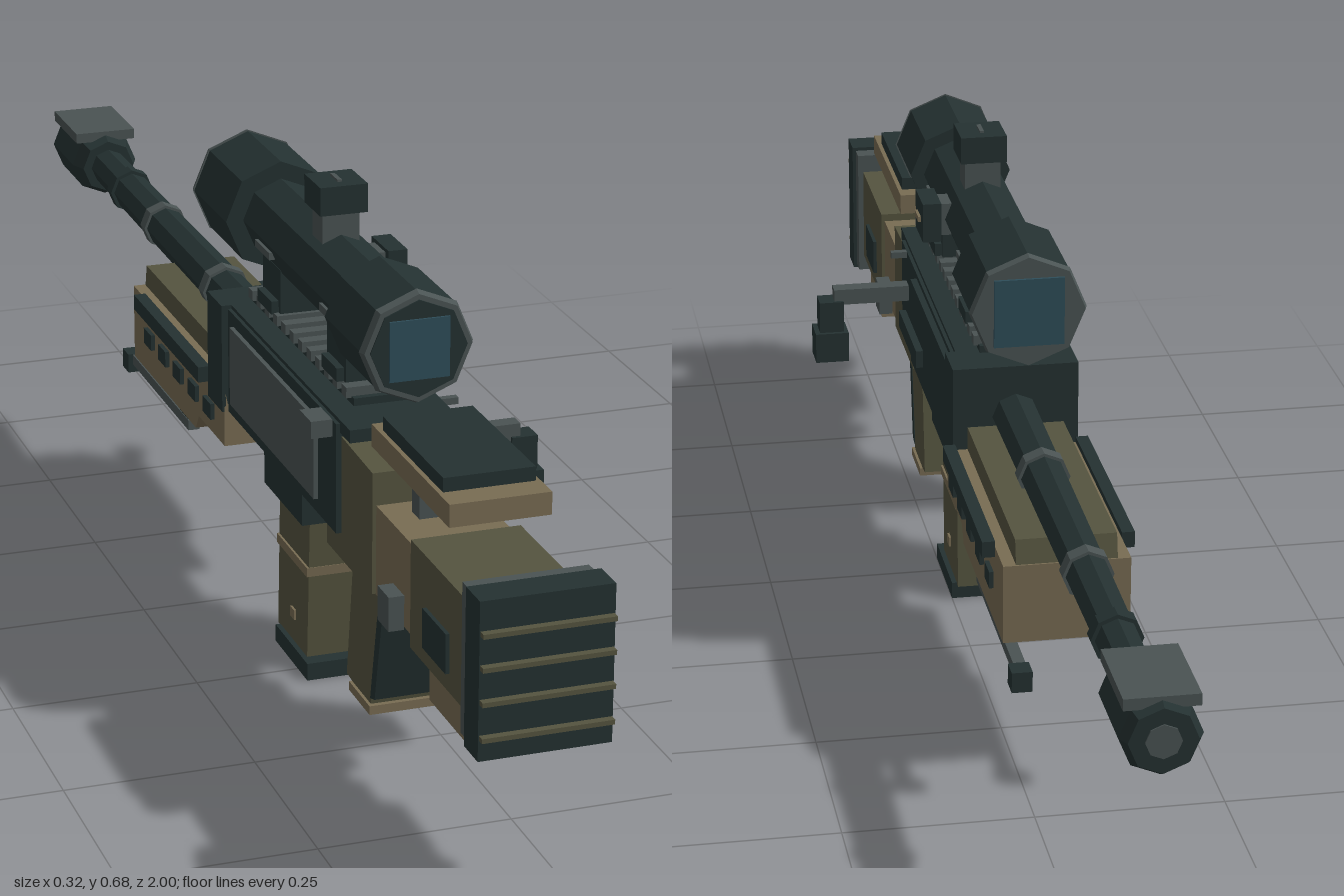
import * as THREE from 'three';

const mat = (name, color) => {
  const m = new THREE.MeshStandardMaterial({ color });
  m.name = name;
  m.flatShading = true;
  return m;
};

export function createModel() {
  const dark = mat('gunmetal', 0x243131);
  const grey = mat('steel grey', 0x4a5353);
  const tan = mat('tan', 0x786c53);
  const olive = mat('olive', 0x55543f);
  const glass = mat('lens blue', 0x2e4d59);

  const model = new THREE.Group();
  model.name = 'rifle';
  const gun = new THREE.Group();
  gun.name = 'rifleBody';
  gun.position.x = -0.055; // the bolt handle makes the body sit off centre
  model.add(gun);

  const add = (name, geo, m) => {
    const mesh = new THREE.Mesh(geo, m);
    mesh.name = name;
    gun.add(mesh);
    return mesh;
  };
  // Box from its limits on each axis
  const box = (name, m, x0, x1, y0, y1, z0, z1) => {
    const b = add(name, new THREE.BoxGeometry(x1 - x0, y1 - y0, Math.abs(z1 - z0)), m);
    b.position.set((x0 + x1) / 2, (y0 + y1) / 2, (z0 + z1) / 2);
    return b;
  };
  // Box centred on the bore line, given half its width
  const mid = (name, m, h, y0, y1, z0, z1) => box(name, m, -h, h, y0, y1, z0, z1);
  const pair = (name, m, x0, x1, y0, y1, z0, z1) => {
    box(name + 'Right', m, x0, x1, y0, y1, z0, z1);
    box(name + 'Left', m, -x1, -x0, y0, y1, z0, z1);
  };
  // Eight-sided tube along z: r0 at z0 (rear), r1 at z1 (front)
  const tube = (name, m, y, r0, r1, z0, z1) => {
    const g = new THREE.CylinderGeometry(r0, r1, z0 - z1, 8);
    g.rotateX(Math.PI / 2);
    g.translate(0, y, (z0 + z1) / 2);
    return add(name, g, m);
  };
  // Side outline of [z, y] points, extruded across x
  const side = (name, m, h, pts) => {
    const shape = new THREE.Shape(pts.map(p => new THREE.Vector2(p[0], p[1])));
    const g = new THREE.ExtrudeGeometry(shape, { depth: 2 * h, bevelEnabled: false });
    g.translate(0, 0, -h);
    g.rotateY(-Math.PI / 2);
    return add(name, g, m);
  };

  // Butt pad with ridges
  mid('buttPad', dark, 0.083, 0.21, 0.41, 0.945, 0.99);
  mid('buttPlate', grey, 0.078, 0.215, 0.405, 0.92, 0.945);
  for (const y of [0.24, 0.285, 0.328, 0.37]) mid('buttRidge', olive, 0.082, y - 0.003, y + 0.003, 0.99, 1.0);

  // Stock
  mid('stockRear', olive, 0.07, 0.238, 0.378, 0.725, 0.92);
  mid('stockToe', tan, 0.063, 0.19, 0.238, 0.775, 0.897);
  pair('stockInset', dark, 0.07, 0.075, 0.262, 0.313, 0.78, 0.86);
  mid('stockMiddle', tan, 0.065, 0.249, 0.367, 0.57, 0.725);
  pair('slingMount', grey, 0.065, 0.085, 0.245, 0.29, 0.65, 0.69);
  side('stockFront', olive, 0.07, [[0.587, 0.25], [0.415, 0.25], [0.415, 0.32], [0.46, 0.415], [0.587, 0.41]]);

  // Raised cheek rest
  mid('cheekRest', tan, 0.064, 0.437, 0.466, 0.565, 0.838);
  mid('cheekPad', dark, 0.058, 0.466, 0.484, 0.59, 0.8);
  mid('cheekPost', grey, 0.03, 0.367, 0.437, 0.618, 0.645);

  // Receiver
  mid('receiver', dark, 0.077, 0.285, 0.432, 0.0, 0.47);
  mid('receiverTop', dark, 0.072, 0.42, 0.437, 0.0, 0.508);
  mid('receiverCollar', dark, 0.086, 0.285, 0.437, -0.045, 0.02);
  box('leftSidePanel', grey, -0.083, -0.077, 0.305, 0.415, 0.045, 0.4);
  box('ejectionPort', dark, 0.077, 0.086, 0.3, 0.425, 0.02, 0.33);
  box('portCover', dark, 0.086, 0.096, 0.335, 0.36, 0.215, 0.375);
  box('safetyCatch', grey, -0.105, -0.077, 0.41, 0.433, 0.41, 0.455);
  box('releasePin', grey, 0.077, 0.1, 0.423, 0.432, 0.42, 0.43);

  // Bolt handle
  box('boltRod', grey, 0.077, 0.186, 0.362, 0.385, 0.405, 0.427);
  box('boltStem', dark, 0.173, 0.208, 0.32, 0.368, 0.4, 0.432);
  box('boltKnob', dark, 0.167, 0.215, 0.278, 0.322, 0.394, 0.438);

  // Top rail
  mid('railBase', dark, 0.04, 0.437, 0.447, 0.01, 0.43);
  for (let i = 0; i < 12; i++) mid('railTooth', grey, 0.047, 0.445, 0.459, 0.018 + i * 0.035, 0.036 + i * 0.035);

  // Magazine
  mid('magazineWell', dark, 0.062, 0.222, 0.287, 0.13, 0.29);
  side('magazine', olive, 0.048, [[0.28, 0.225], [0.268, 0.022], [0.145, 0.022], [0.155, 0.225]]);
  side('magazineRib', tan, 0.051, [[0.277, 0.155], [0.276, 0.142], [0.149, 0.142], [0.15, 0.155]]);
  mid('magazineStud', tan, 0.051, 0.058, 0.072, 0.205, 0.222);
  mid('magazineBase', dark, 0.055, 0, 0.024, 0.155, 0.29);

  // Grip and trigger
  side('grip', olive, 0.05, [[0.563, 0.252], [0.527, 0.066], [0.435, 0.074], [0.46, 0.252]]);
  side('gripBackstrap', dark, 0.051, [[0.58, 0.25], [0.563, 0.25], [0.528, 0.08], [0.545, 0.085]]);
  mid('gripCap', tan, 0.054, 0.06, 0.072, 0.455, 0.535);
  mid('triggerGuard', dark, 0.022, 0.228, 0.238, 0.315, 0.475);
  mid('guardFront', dark, 0.022, 0.212, 0.262, 0.328, 0.338);
  side('trigger', grey, 0.009, [[0.375, 0.29], [0.352, 0.24], [0.362, 0.24], [0.395, 0.29]]);

  // Handguard
  side('handguard', tan, 0.083, [[0.02, 0.32], [0.02, 0.235], [-0.1, 0.235], [-0.115, 0.212], [-0.42, 0.212], [-0.42, 0.32]]);
  side('handguardTop', olive, 0.066, [[0.0, 0.318], [-0.418, 0.318], [-0.41, 0.352], [-0.04, 0.352]]);
  pair('handguardRail', dark, 0.083, 0.1, 0.306, 0.328, -0.36, -0.045);
  for (let i = 0; i < 5; i++) pair('handguardSlot', dark, 0.083, 0.089, 0.257, 0.28, -0.062 - i * 0.072, -0.026 - i * 0.072);
  mid('handguardChannel', dark, 0.04, 0.206, 0.212, -0.39, -0.14);

  // Folded bipod
  mid('bipodHinge', dark, 0.075, 0.19, 0.21, -0.22, -0.18);
  pair('bipodLeg', grey, 0.06, 0.076, 0.185, 0.2, -0.46, -0.175);
  pair('bipodFoot', dark, 0.056, 0.083, 0.173, 0.201, -0.485, -0.456);

  // Barrel and muzzle brake
  const bore = 0.365;
  tube('barrel', dark, bore, 0.032, 0.027, -0.04, -0.86);
  for (const [z, r, m] of [[-0.245, 0.035, grey], [-0.545, 0.033, grey], [-0.725, 0.033, dark]])
    tube('barrelRing', m, bore, r, r, z + 0.011, z - 0.011);
  tube('muzzleTaper', dark, bore, 0.04, 0.05, -0.845, -0.87);
  tube('muzzleBrake', dark, bore, 0.05, 0.05, -0.87, -0.985);
  tube('muzzleTip', dark, bore, 0.05, 0.042, -0.985, -1.0);
  tube('muzzleBore', grey, bore, 0.022, 0.022, -0.99, -1.002);
  mid('muzzlePlate', grey, 0.046, 0.402, 0.417, -0.99, -0.86);

  // Scope
  const eye = 0.553;
  tube('scopeTube', dark, eye, 0.053, 0.053, 0.42, 0.01);
  tube('eyepiece', dark, eye, 0.072, 0.072, 0.548, 0.41);
  tube('eyepieceRim', grey, eye, 0.07, 0.074, 0.555, 0.545);
  tube('eyepieceFace', dark, eye, 0.063, 0.063, 0.557, 0.55);
  tube('objective', dark, eye, 0.077, 0.077, 0.015, -0.132);
  tube('objectiveRim', grey, eye, 0.079, 0.076, -0.13, -0.14);
  mid('rearLens', glass, 0.039, eye - 0.039, eye + 0.039, 0.556, 0.56);
  mid('frontLens', glass, 0.047, eye - 0.047, eye + 0.047, -0.144, -0.139);
  for (const z of [0.362, 0.097]) {
    mid('scopeMount', dark, 0.04, 0.457, 0.52, z - 0.037, z + 0.037);
    mid('mountClamp', dark, 0.05, 0.457, 0.475, z - 0.03, z + 0.03);
    pair('mountScrew', grey, 0.035, 0.053, 0.533, 0.543, z - 0.03, z + 0.03);
  }

  // Scope adjustment turrets
  mid('turretStem', grey, 0.025, 0.59, 0.64, 0.222, 0.263);
  mid('turretCap', dark, 0.032, 0.637, 0.675, 0.21, 0.275);
  mid('turretMark', grey, 0.003, 0.674, 0.678, 0.228, 0.257);
  box('sideTurretStem', grey, 0.04, 0.068, 0.53, 0.576, 0.222, 0.263);
  box('sideTurretCap', dark, 0.06, 0.086, 0.525, 0.581, 0.21, 0.275);
  box('sideTurretMark', tan, 0.086, 0.09, 0.549, 0.557, 0.228, 0.257);

  return model;
}
